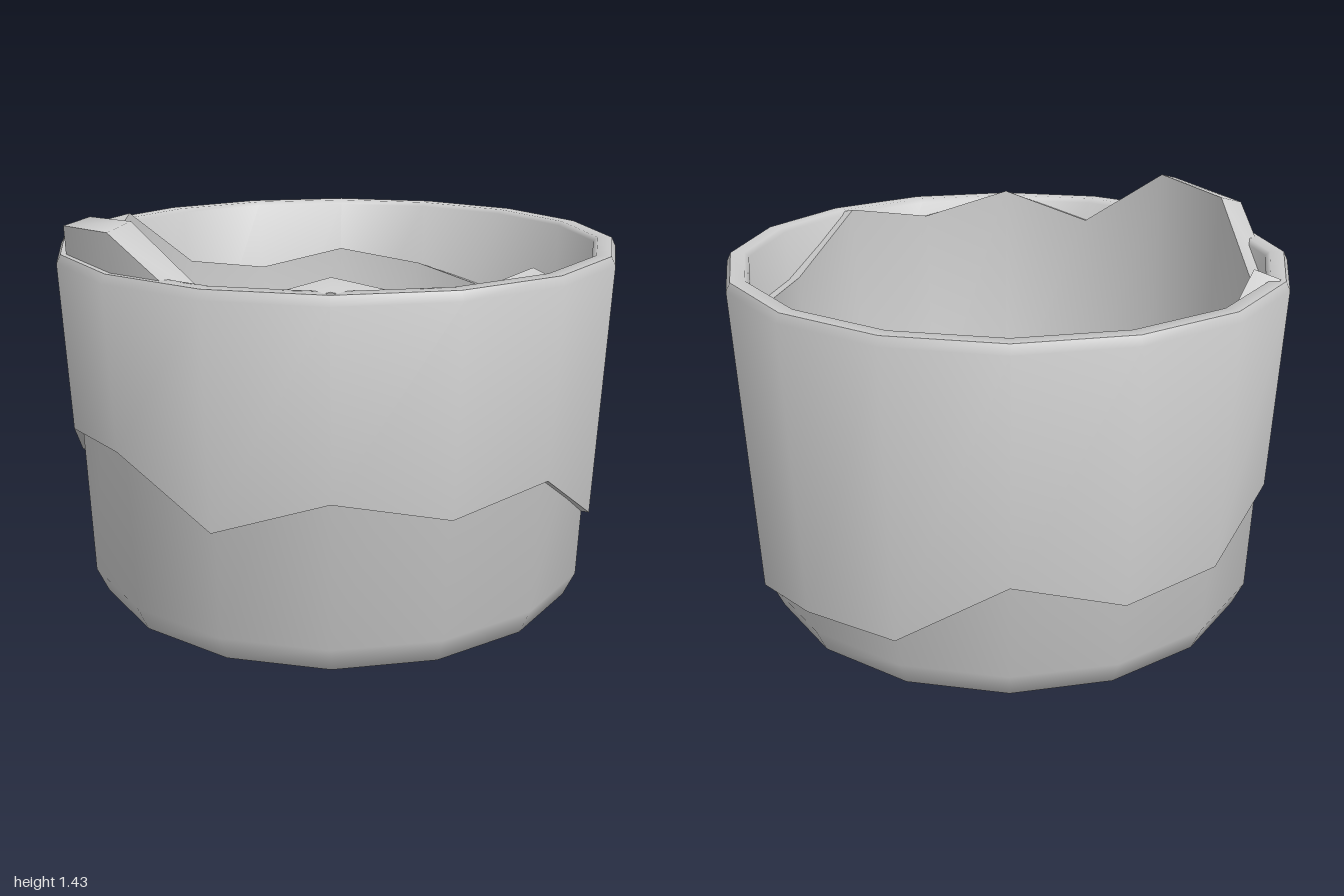
import * as THREE from 'three';
import { toCreasedNormals } from 'three/addons/utils/BufferGeometryUtils.js';

const SIDES = 16;

// Sweeps a [radius, y] profile round the y axis; the profile may differ at each corner.
function sweep(name, profileAt) {
  const positions = [];
  const index = [];
  const rows = profileAt(0).length;
  for (let k = 0; k < SIDES; k++) {
    const a = (k / SIDES) * Math.PI * 2;
    for (const [r, y] of profileAt(k)) positions.push(r * Math.cos(a), y, r * Math.sin(a));
  }
  for (let k = 0; k < SIDES; k++) {
    const next = (k + 1) % SIDES;
    for (let j = 0; j < rows - 1; j++) {
      const a = k * rows + j;
      const b = next * rows + j;
      index.push(a, a + 1, b, b, a + 1, b + 1);
    }
  }
  const geometry = new THREE.BufferGeometry();
  geometry.setAttribute('position', new THREE.Float32BufferAttribute(positions, 3));
  geometry.setIndex(index);
  const material = new THREE.MeshStandardMaterial({ color: 0xcccccc });
  const mesh = new THREE.Mesh(toCreasedNormals(geometry, 0.85), material);
  mesh.name = name;
  return mesh;
}

// Heights of the jagged edges at each corner, starting at +x and turning towards +z
const potTop = [0.96, 0.88, 1.09, 1.09, 1.29, 1.22, 1.31, 1.2, 1.43, 1.4, 1.18, 1.31, 1.07, 1.01, 1.08, 1.03];
const sleeveBottom = [0.22, 0.14, 0.29, 0.37, 0.61, 0.56, 0.64, 0.51, 0.7, 0.67, 0.46, 0.54, 0.39, 0.37, 0.48, 0.24];

export function createModel() {
  const group = new THREE.Group();
  group.name = 'brokenPot';

  // Inner pot: rounded foot, thick wall with a broken top edge, bowl-shaped floor
  group.add(sweep('innerPot', (k) => {
    const top = potTop[k];
    return [
      [0, 0], [0.8, 0.005], [0.89, 0.04], [0.93, 0.13],
      [0.927 + 0.03 * top, top - 0.025], [0.84 + 0.028 * top, top],
      [0.84, 0.3], [0.8, 0.18], [0.68, 0.11], [0.45, 0.085], [0, 0.08],
    ];
  }));

  // Outer sleeve: even bevelled rim, broken lower edge
  group.add(sweep('outerSleeve', (k) => {
    const low = sleeveBottom[k];
    return [
      [0.905, low], [0.95 + 0.04 * low, low], [1, 1.25], [0.985, 1.28],
      [0.935, 1.28], [0.92, 1.265], [0.905, low],
    ];
  }));

  return group;
}
